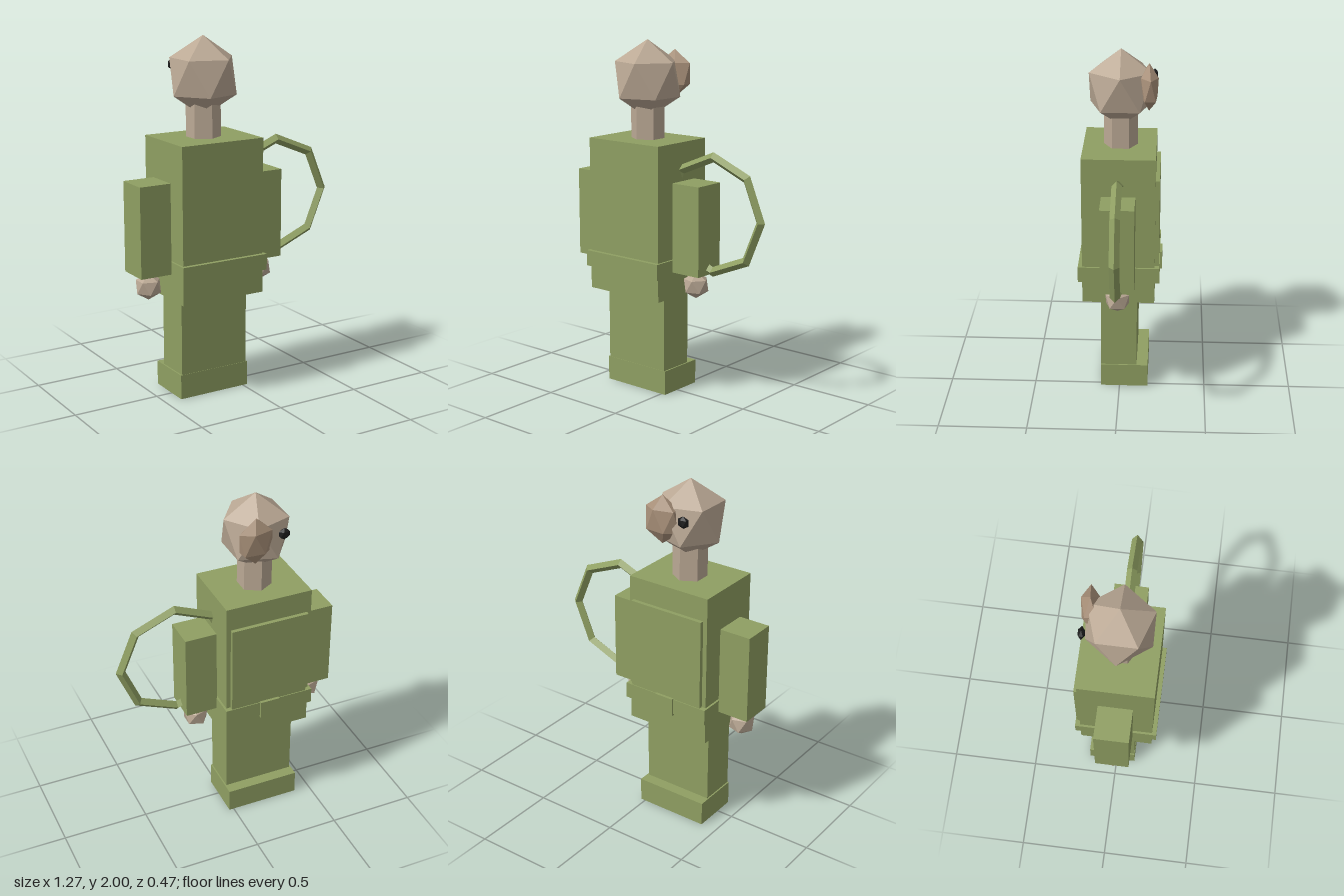
import * as THREE from 'three';

const material = (color, flatShading = true) => new THREE.MeshStandardMaterial({ color, flatShading });

export function createModel() {
  const model = new THREE.Group();
  model.name = 'figure';
  const green = material(0x8f9f62);
  const skin = material(0xbba995);
  const noseSkin = material(0xa89079);
  const black = material(0x1c1c1c);

  const add = (name, geometry, mat, x, y, z) => {
    const mesh = new THREE.Mesh(geometry, mat);
    mesh.name = name;
    mesh.position.set(x, y, z);
    model.add(mesh);
    return mesh;
  };

  // Box given by its limits on each axis
  const box = (name, [x0, x1], [y0, y1], [z0, z1]) =>
    add(name, new THREE.BoxGeometry(x1 - x0, y1 - y0, z1 - z0), green,
      (x0 + x1) / 2, (y0 + y1) / 2, (z0 + z1) / 2);

  // Icosahedron standing on a corner, with separate radii
  const ball = (name, mat, [x, y, z], [rx, ry, rz]) => {
    const geometry = new THREE.IcosahedronGeometry(1, 0);
    geometry.rotateZ(-Math.atan(2 / (1 + Math.sqrt(5))));
    geometry.scale(rx, ry, rz);
    return add(name, geometry, mat, x, y, z);
  };

  const midX = -0.188;

  // Torso, belt and back details
  box('torso', [-0.44, 0.065], [0.577, 1.45], [-0.2, 0.21]);
  box('belt', [-0.452, 0.077], [0.71, 0.8], [-0.228, 0.234]);
  box('buckle', [-0.245, -0.13], [0.7, 0.805], [-0.24, -0.2]);
  box('coatPanel', [-0.415, 0.04], [0.78, 1.317], [-0.223, -0.19]);

  // Head and neck
  add('neck', new THREE.CylinderGeometry(0.095, 0.095, 0.2, 6), skin, midX, 1.54, 0);
  ball('head', skin, [midX, 1.78, 0], [0.204, 0.22, 0.204]);
  ball('nose', noseSkin, [-0.12, 1.805, -0.156], [0.112, 0.135, 0.057]).rotation.y = 0.1;
  ball('eye', black, [-0.27, 1.83, -0.183], [0.036, 0.034, 0.021]);

  // Arms, hands, legs and boots, one of each per side
  for (const side of [-1, 1]) {
    const label = side < 0 ? 'right' : 'left';
    const span = (inner, outer) =>
      [midX + side * inner, midX + side * outer].sort((a, b) => a - b);
    box(label + 'Arm', span(0.263, 0.447), [0.73, 1.235], [-0.09, 0.1]);
    ball(label + 'Hand', skin, [midX + side * 0.356, 0.655, 0.005], [0.077, 0.077, 0.077]);
    box(label + 'Leg', span(0, 0.208), [0.1, 0.6], [-0.1, 0.108]);
    box(label + 'Boot', span(0, 0.216), [0, 0.14], [-0.165, 0.11]);
  }

  // Eight-sided hoop beside the body
  add('hoop', new THREE.TorusGeometry(0.32, 0.028, 4, 8), green, 0.284, 1.07, 0.003);

  return model;
}
